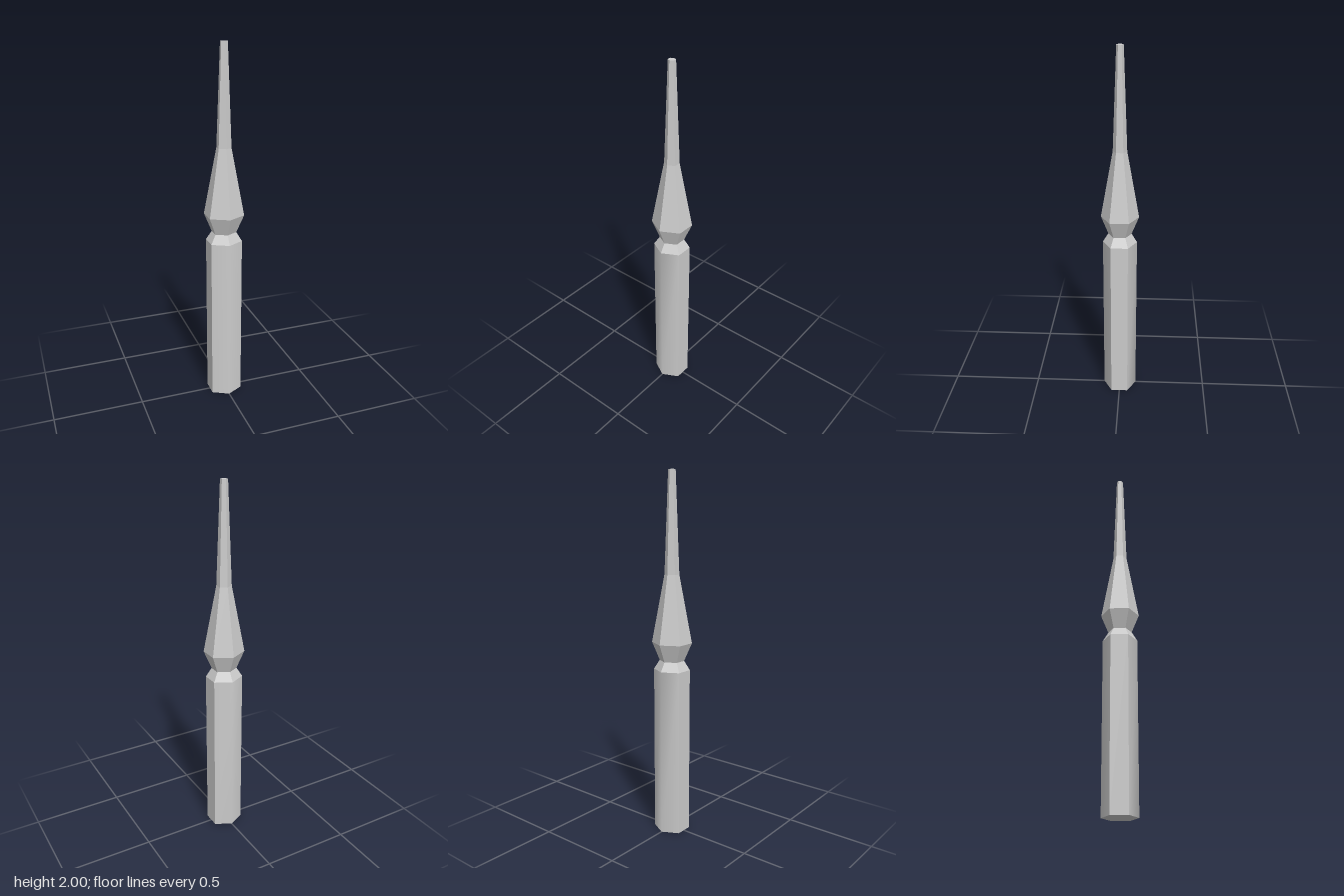
import * as THREE from 'three';
import { toCreasedNormals } from 'three/addons/utils/BufferGeometryUtils.js';

const STRETCH = 1.085; // the hexagon is slightly wide across x

export function createModel() {
  const group = new THREE.Group();
  const flat = new THREE.MeshStandardMaterial({ color: 0xcccccc, flatShading: true });
  const smooth = new THREE.MeshStandardMaterial({ color: 0xcccccc });

  // Six-sided section with corners on the z axis; y0 and y1 are its ends
  function section(name, y0, r0, y1, r1, open = true, creased = false) {
    let geometry = new THREE.CylinderGeometry(r1, r0, y1 - y0, 6, 1, open);
    geometry.scale(STRETCH, 1, 1);
    geometry.translate(0, (y0 + y1) / 2, 0);
    if (creased) geometry = toCreasedNormals(geometry, Math.PI / 3);
    const mesh = new THREE.Mesh(geometry, creased ? smooth : flat);
    mesh.name = name;
    group.add(mesh);
  }

  // Handle: soft front and back edges, sharp side edges
  section('handle', 0, 0.094, 0.94, 0.094, false, true);
  section('handleBevel', 0.94, 0.094, 0.99, 0.064);

  // Blade: flared collar, long taper, slender tip
  section('collar', 0.99, 0.064, 1.09, 0.104);
  section('bladeTaper', 1.09, 0.104, 1.46, 0.038);
  section('tip', 1.46, 0.038, 2, 0.0187, false);

  return group;
}
